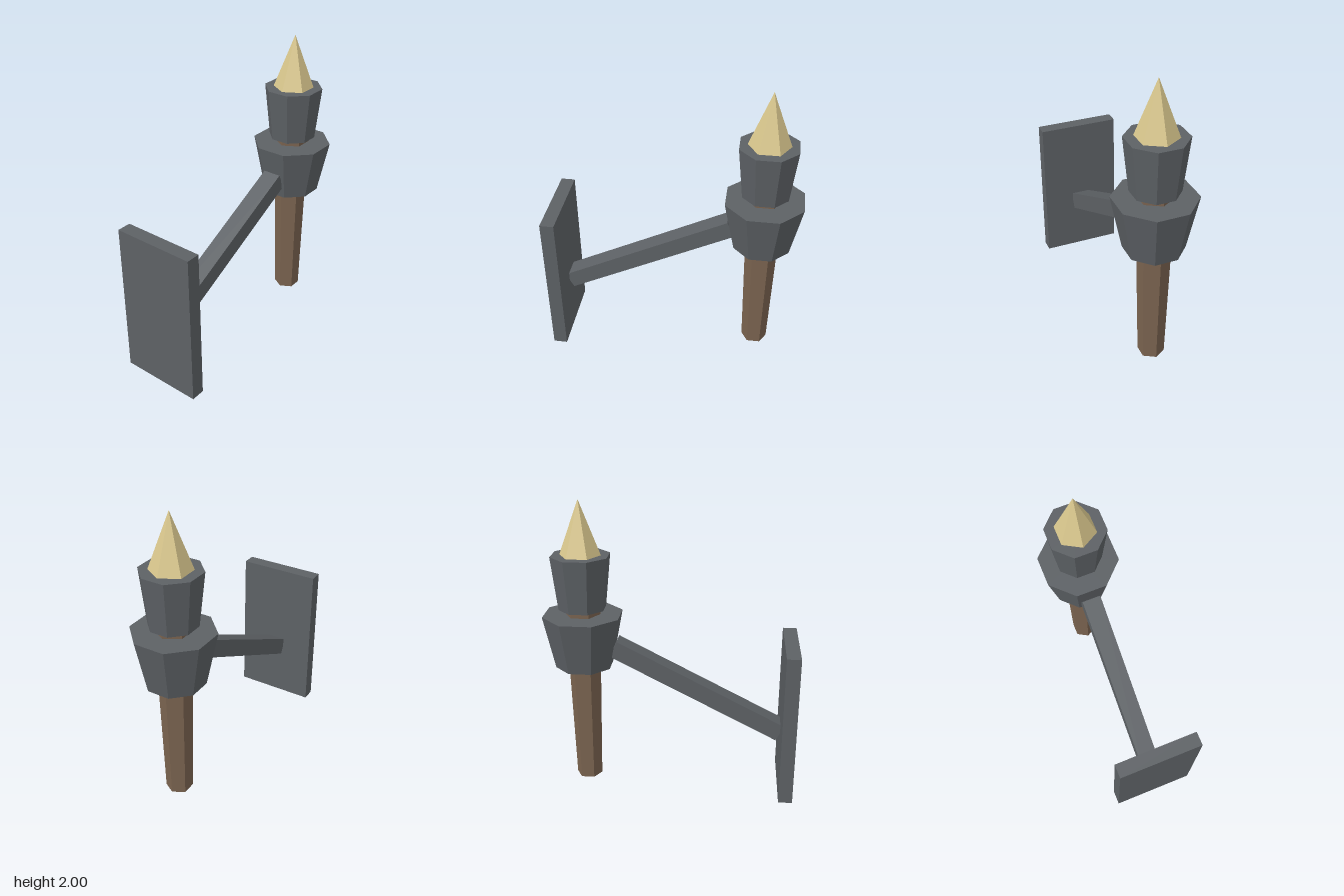
import * as THREE from 'three';

const flat = (name, color) => {
  const m = new THREE.MeshStandardMaterial({ color, flatShading: true });
  m.name = name;
  return m;
};

export function createModel() {
  const metal = flat('dark iron', 0x5d6165);
  const wood = flat('brown wood', 0x7b6450);
  const fire = flat('pale yellow flame', 0xd9c78d);

  const model = new THREE.Group();
  model.name = 'wallTorch';

  const add = (parent, name, geometry, material, x, y, z) => {
    const mesh = new THREE.Mesh(geometry, material);
    mesh.name = name;
    mesh.position.set(x, y, z);
    parent.add(mesh);
    return mesh;
  };

  // Wall mount: flat plate and a sloping square arm
  add(model, 'wallPlate', new THREE.BoxGeometry(0.57, 1.065, 0.095), metal, 0, 0.5325, 0.807);
  const arm = add(model, 'supportArm', new THREE.BoxGeometry(0.13, 0.12, 1.292), metal, 0, 0.7075, 0.1825);
  arm.rotation.x = Math.atan2(0.588, 1.15);

  // Torch: tapered faceted pieces stacked on one axis
  const torch = new THREE.Group();
  torch.name = 'torch';
  torch.position.z = -0.6;
  model.add(torch);

  const taper = (name, material, sides, y0, y1, r0, r1, turn = 0) => {
    const g = r1 === 0
      ? new THREE.ConeGeometry(r0, y1 - y0, sides)
      : new THREE.CylinderGeometry(r1, r0, y1 - y0, sides);
    g.rotateY(turn);
    add(torch, name, g, material, 0, (y0 + y1) / 2, 0);
  };

  taper('handle', wood, 6, 0, 1.4, 0.09, 0.124);
  taper('holderCollar', metal, 8, 0.86, 1.228, 0.2, 0.276, Math.PI / 8);
  taper('fireCup', metal, 8, 1.27, 1.635, 0.162, 0.202, Math.PI / 8);
  taper('flame', fire, 6, 1.635, 2, 0.138, 0);

  return model;
}
